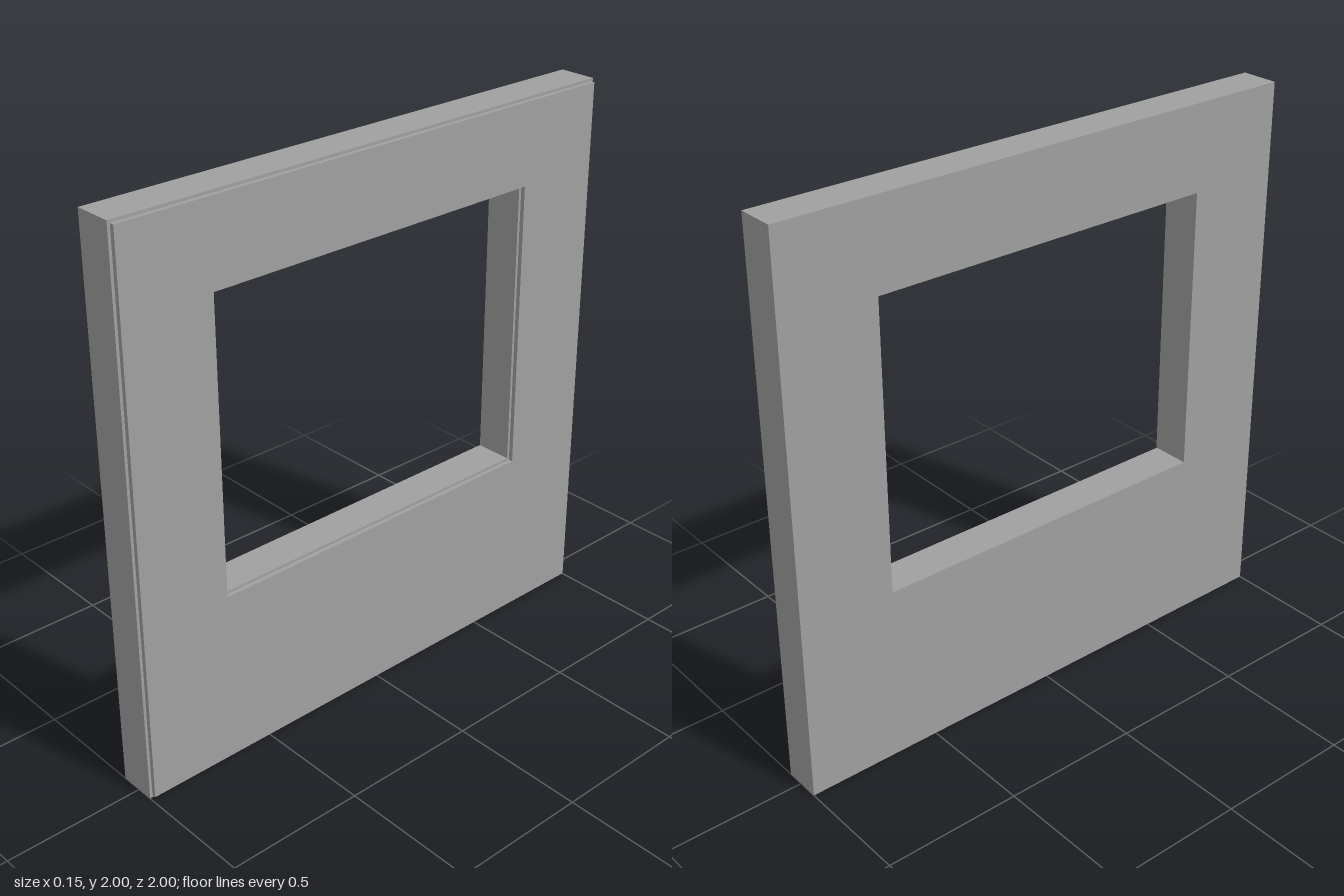
import * as THREE from 'three';

const grey = new THREE.MeshStandardMaterial({ color: 0xa0a0a0 });
grey.name = 'grey';

// Rectangular sheet with a rectangular opening, lying in the yz plane from x0 to x1
function frame(name, inset, x0, x1) {
  const rect = (path, w, bottom, top) => {
    path.moveTo(-w, bottom);
    path.lineTo(w, bottom);
    path.lineTo(w, top);
    path.lineTo(-w, top);
    path.closePath();
    return path;
  };
  const shape = rect(new THREE.Shape(), 1 - inset, inset, 2 - inset);
  shape.holes.push(rect(new THREE.Path(), 0.652 + inset, 0.648 - inset, 1.687 + inset));
  const geometry = new THREE.ExtrudeGeometry(shape, { depth: x1 - x0, bevelEnabled: false });
  geometry.rotateY(Math.PI / 2);
  geometry.translate(x0, 0, 0);
  const mesh = new THREE.Mesh(geometry, grey);
  mesh.name = name;
  return mesh;
}

export function createModel() {
  const group = new THREE.Group();
  group.name = 'wallWithWindowOpening';
  // Thick core, and a thin facing stepped back along every edge
  group.add(frame('wallCore', 0, -0.077, 0.061));
  group.add(frame('wallFacing', 0.01, 0.061, 0.077));
  return group;
}
